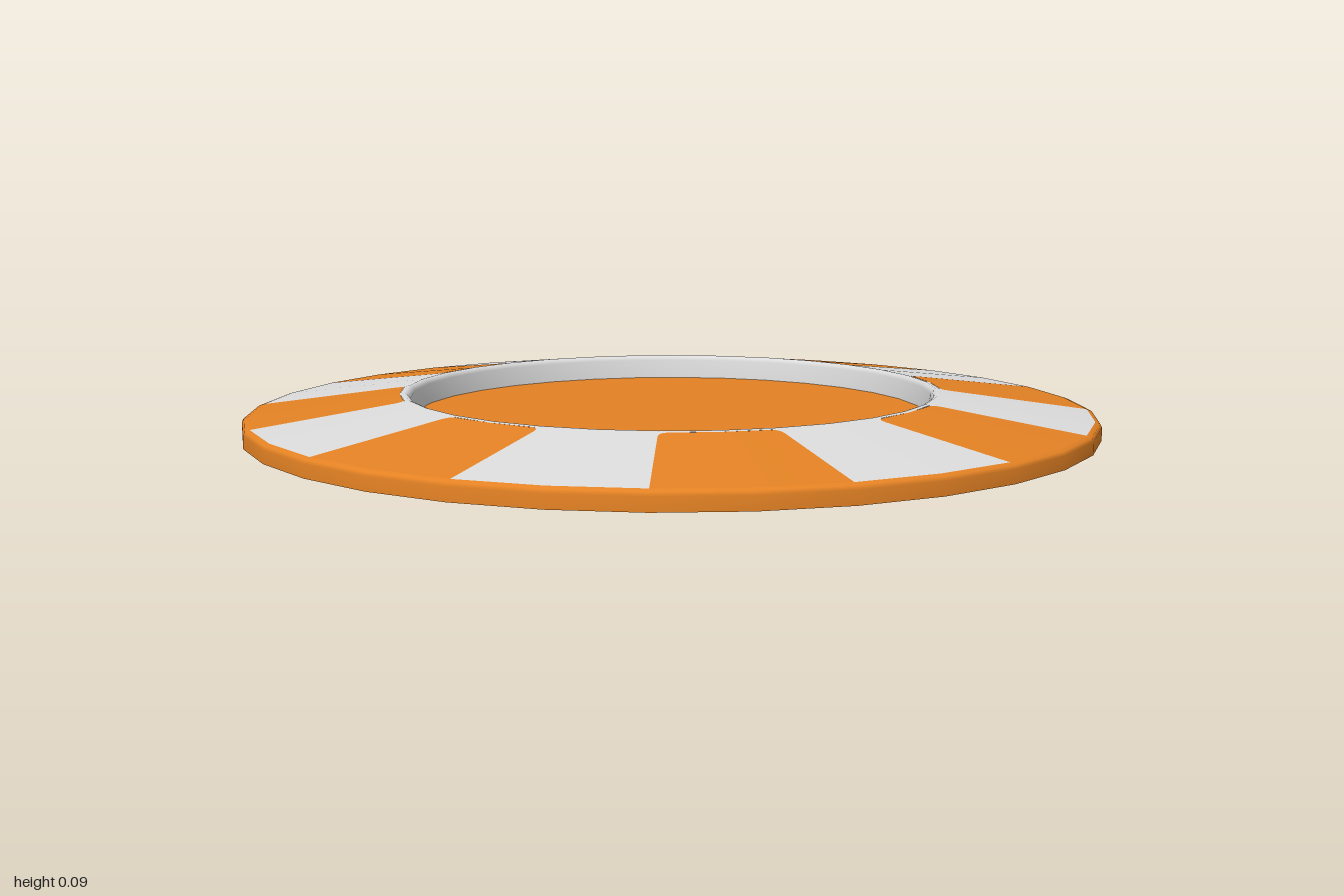
import * as THREE from 'three';

const SIDES = 32;
const SECTORS = 16;
const STEP = (Math.PI * 2) / SECTORS;
const INNER_R = 0.61;
const DISC_Y = 0.03;

const points = (list) => list.map(([r, y]) => new THREE.Vector2(r, y));

// One sloped sector; its inner corners are narrowed (+) or widened (-) to round the stripe.
function sectorGeometry(centre, sign) {
  const slope = (r) => 0.042 + ((0.985 - r) * 0.045) / 0.345;
  const radii = [0.985, 0.664, 0.65, 0.643, 0.64];
  const insets = [0, 0, 0.005, 0.016, 0.03];
  const geo = new THREE.LatheGeometry(
    points(radii.map((r) => [r, slope(r)])), 2, centre - STEP / 2, STEP);
  const pos = geo.attributes.position;
  for (let i = 0; i < pos.count; i++) {
    const column = Math.floor(i / radii.length) - 1; // -1, 0, 1 across the sector
    const row = i % radii.length;
    const angle = centre + column * (STEP / 2 - sign * insets[row]);
    pos.setX(i, Math.sin(angle) * radii[row]);
    pos.setZ(i, Math.cos(angle) * radii[row]);
  }
  return geo;
}

export function createModel() {
  const material = (name, color) =>
    new THREE.MeshStandardMaterial({ name, color, side: THREE.DoubleSide });
  const orange = material('orange', 0xe48224);
  const grey = material('lightGrey', 0xdcdcdc);

  const group = new THREE.Group();
  group.name = 'stripedChip';
  const add = (name, geometry, mat) => {
    const mesh = new THREE.Mesh(geometry, mat);
    mesh.name = name;
    group.add(mesh);
    return mesh;
  };

  // Outer wall with a small rounded shoulder, open underneath
  add('outerRim', new THREE.LatheGeometry(
    points([[1, 0], [1, 0.03], [0.996, 0.038], [0.985, 0.042]]), SIDES), orange);

  // Alternating stripes on the sloped top
  for (let i = 0; i < SECTORS; i++) {
    const isOrange = i % 2 === 0;
    add(isOrange ? 'orangeStripe' : 'greyStripe',
      sectorGeometry(i * STEP, isOrange ? 1 : -1), isOrange ? orange : grey);
  }

  // Rounded lip dropping into the recess
  add('innerLip', new THREE.LatheGeometry(
    points([[0.64, 0.087], [0.63, 0.089], [0.622, 0.086], [0.616, 0.077], [INNER_R, DISC_Y]]),
    SIDES), grey);

  // Recessed centre
  const disc = new THREE.CircleGeometry(INNER_R, SIDES).rotateX(-Math.PI / 2);
  add('centreDisc', disc, orange).position.y = DISC_Y;

  return group;
}
